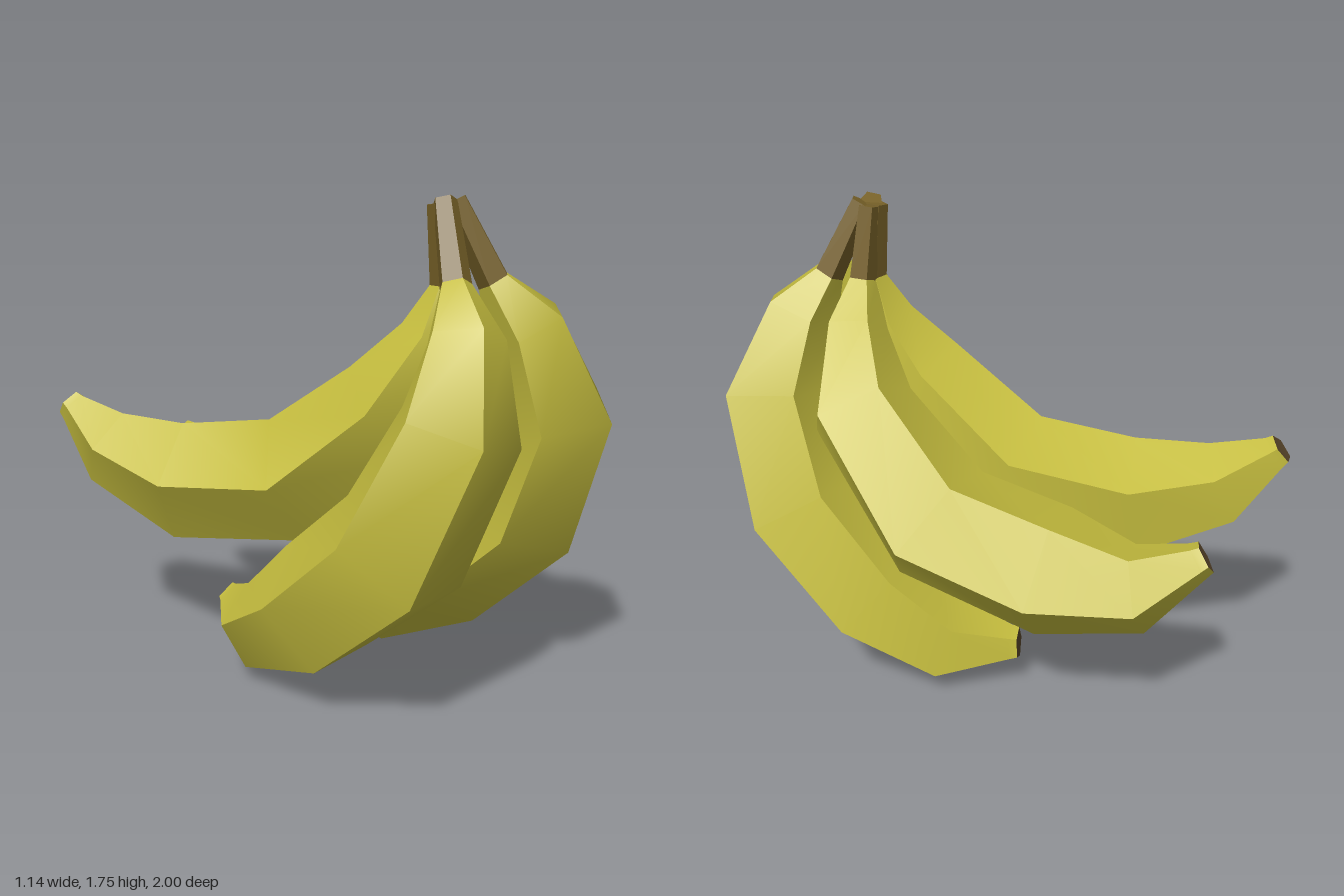
import * as THREE from 'three';

const SIDES = 5;
const peel = new THREE.MeshStandardMaterial({ color: 0xc4bc3e });
const stemBrown = new THREE.MeshStandardMaterial({ color: 0x776128 });
const tipBrown = new THREE.MeshStandardMaterial({ color: 0x58452a });
const V = (a) => new THREE.Vector3(a[0], a[1], a[2]);

// Each banana: rings [x, y, z, radius] from stem top to tip, the centre its
// curve bends around, and whether a ridge or a flat side faces outward.
const bananas = [
  {
    name: 'frontRightBanana', bend: [-0.32, 1.05, -0.3], ridgeOut: false,
    rings: [[-0.05, 1.725, 0.53, 0.042], [-0.135, 1.465, 0.63, 0.055], [-0.21, 1.31, 0.715, 0.132], [-0.29, 1.04, 0.745, 0.21],
      [-0.335, 0.62, 0.555, 0.25], [-0.315, 0.335, 0.21, 0.24], [-0.285, 0.185, -0.09, 0.16], [-0.205, 0.215, -0.27, 0.07]],
  },
  {
    name: 'frontLeftBanana', bend: [0.26, 1.0, -0.25], ridgeOut: true,
    rings: [[0, 1.725, 0.54, 0.042], [0.075, 1.465, 0.65, 0.058], [0.14, 1.32, 0.74, 0.142], [0.26, 1.03, 0.785, 0.22],
      [0.325, 0.63, 0.625, 0.25], [0.315, 0.325, 0.31, 0.235], [0.25, 0.155, 0.04, 0.165], [0.17, 0.17, -0.18, 0.07]],
  },
  {
    name: 'backRightBanana', bend: [0.12, 1.55, -0.6], ridgeOut: true,
    rings: [[-0.04, 1.715, 0.505, 0.042], [-0.025, 1.45, 0.525, 0.052], [-0.05, 1.28, 0.505, 0.12], [-0.105, 1.04, 0.38, 0.2],
      [-0.115, 0.73, -0.02, 0.245], [-0.255, 0.675, -0.47, 0.23], [-0.35, 0.775, -0.78, 0.157], [-0.395, 0.915, -0.94, 0.065]],
  },
  {
    name: 'backLeftBanana', bend: [0.06, 1.4, -0.6], ridgeOut: true,
    rings: [[0, 1.715, 0.51, 0.042], [0.035, 1.45, 0.53, 0.054], [0.12, 1.29, 0.51, 0.12], [0.265, 1.05, 0.4, 0.2],
      [0.315, 0.7, 0.05, 0.25], [0.27, 0.605, -0.38, 0.245], [0.215, 0.6, -0.69, 0.16], [0.125, 0.715, -0.86, 0.068]],
  },
];

// Five-sided cross-sections, square to the curve, with a short bevel at the tip
function crossSections({ rings, bend, ridgeOut }) {
  const centres = rings.map(V);
  const last = centres.length - 1;
  const sections = centres.map((c, i) => {
    const along = centres[Math.min(i + 1, last)].clone().sub(centres[Math.max(i - 1, 0)]).normalize();
    const out = c.clone().sub(V(bend));
    out.addScaledVector(along, -out.dot(along)).normalize();
    const side = along.clone().cross(out);
    const points = [];
    for (let j = 0; j < SIDES; j++) {
      const t = ((j + (ridgeOut ? 0 : 0.5)) / SIDES) * Math.PI * 2;
      points.push(c.clone().addScaledVector(out, rings[i][3] * Math.cos(t)).addScaledVector(side, rings[i][3] * Math.sin(t)));
    }
    return { c, along, points };
  });
  const end = sections[last];
  sections.push({
    c: end.c.clone().addScaledVector(end.along, 0.025),
    points: end.points.map((p) => p.clone().lerp(end.c, 0.12).addScaledVector(end.along, 0.03)),
  });
  return sections;
}

// One strip per side: smooth along the length, sharp at the ridges.
// cap: 'start' or 'end' closes that end.
function skin(name, sections, material, cap) {
  const pos = [];
  const index = [];
  const add = (p) => pos.push(p.x, p.y, p.z) / 3 - 1;
  for (let j = 0; j < SIDES; j++) {
    const k = (j + 1) % SIDES;
    sections.forEach((s, i) => {
      const a = add(s.points[j]);
      const b = add(s.points[k]);
      if (i > 0) index.push(a - 2, b - 2, b, a - 2, b, a);
    });
  }
  if (cap) {
    const s = cap === 'start' ? sections[0] : sections[sections.length - 1];
    const centre = add(s.c);
    const rim = s.points.map(add);
    rim.forEach((a, j) => {
      const b = rim[(j + 1) % SIDES];
      index.push(centre, ...(cap === 'start' ? [b, a] : [a, b]));
    });
  }
  const geo = new THREE.BufferGeometry();
  geo.setAttribute('position', new THREE.Float32BufferAttribute(pos, 3));
  geo.setIndex(index);
  geo.computeVertexNormals();
  const mesh = new THREE.Mesh(geo, material);
  mesh.name = name;
  return mesh;
}

function createBanana(spec) {
  const group = new THREE.Group();
  group.name = spec.name;
  const sections = crossSections(spec);
  group.add(
    skin('stem', sections.slice(0, 2), stemBrown, 'start'),
    skin('peel', sections.slice(1), peel),
    skin('tip', sections.slice(-1), tipBrown, 'end'),
  );
  return group;
}

export function createModel() {
  const model = new THREE.Group();
  model.name = 'bananaBunch';
  bananas.forEach((spec) => model.add(createBanana(spec)));
  return model;
}
